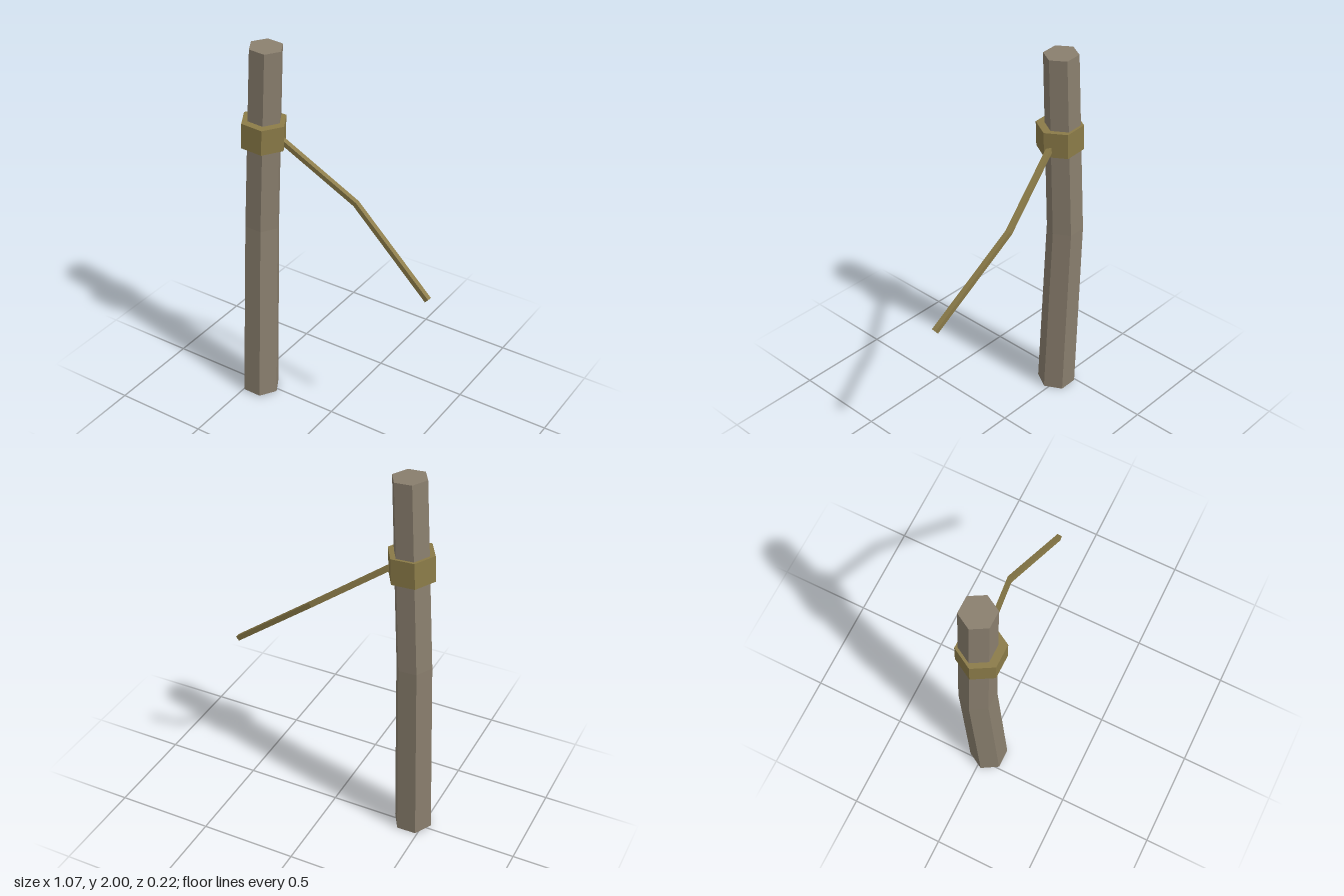
import * as THREE from 'three';

// Prism swept along a path: each ring is mitred square to the path, both ends capped.
function sweep(path, radii, sides, axis, phase = 0) {
  const pts = path.map((p) => new THREE.Vector3(...p));
  const pos = [];
  const index = [];
  pts.forEach((p, i) => {
    const n = new THREE.Vector3();
    if (i > 0) n.add(p.clone().sub(pts[i - 1]).normalize());
    if (i < pts.length - 1) n.add(pts[i + 1].clone().sub(p).normalize());
    n.normalize();
    const u = axis.clone().addScaledVector(n, -axis.dot(n)).normalize();
    const w = n.clone().cross(u);
    for (let j = 0; j < sides; j++) {
      const a = phase + (j / sides) * Math.PI * 2;
      const v = p.clone()
        .addScaledVector(u, Math.cos(a) * radii[i])
        .addScaledVector(w, Math.sin(a) * radii[i]);
      pos.push(v.x, v.y, v.z);
    }
  });
  for (let i = 0; i < pts.length - 1; i++) {
    for (let j = 0; j < sides; j++) {
      const a = i * sides + j;
      const b = i * sides + ((j + 1) % sides);
      index.push(a, b, b + sides, a, b + sides, a + sides);
    }
  }
  const last = (pts.length - 1) * sides;
  for (let j = 1; j < sides - 1; j++) {
    index.push(0, j + 1, j);
    index.push(last, last + j, last + j + 1);
  }
  const indexed = new THREE.BufferGeometry();
  indexed.setAttribute('position', new THREE.Float32BufferAttribute(pos, 3));
  indexed.setIndex(index);
  const geo = indexed.toNonIndexed();
  geo.computeVertexNormals();
  return geo;
}

export function createModel() {
  const group = new THREE.Group();
  const wood = new THREE.MeshStandardMaterial({ color: 0x8a7f6e, flatShading: true });
  wood.name = 'weathered wood';
  const rope = new THREE.MeshStandardMaterial({ color: 0x8b7b48, flatShading: true });
  rope.name = 'rope';

  const add = (name, geo, mat) => {
    const mesh = new THREE.Mesh(geo, mat);
    mesh.name = name;
    group.add(mesh);
  };
  const X = new THREE.Vector3(1, 0, 0);
  const Z = new THREE.Vector3(0, 0, 1);

  // Crooked six-sided post, bent at mid height and tapering upward
  add('post', sweep(
    [[-0.44, 0.005, 0.022], [-0.428, 1.02, -0.018], [-0.37, 1.995, -0.013]],
    [0.101, 0.093, 0.086], 6, X), wood);

  // Rope binding wrapped round the post
  add('ropeBinding', sweep(
    [[-0.393, 1.487, -0.002], [-0.386, 1.62, -0.002]],
    [0.118, 0.118], 6, X), rope);

  // Loose square-section rope end hanging out to the side
  add('looseRope', sweep(
    [[-0.31, 1.535, -0.018], [0.078, 1.258, -0.097], [0.524, 0.897, -0.041]],
    [0.018, 0.018, 0.018], 4, Z, Math.PI / 4), rope);

  return group;
}
